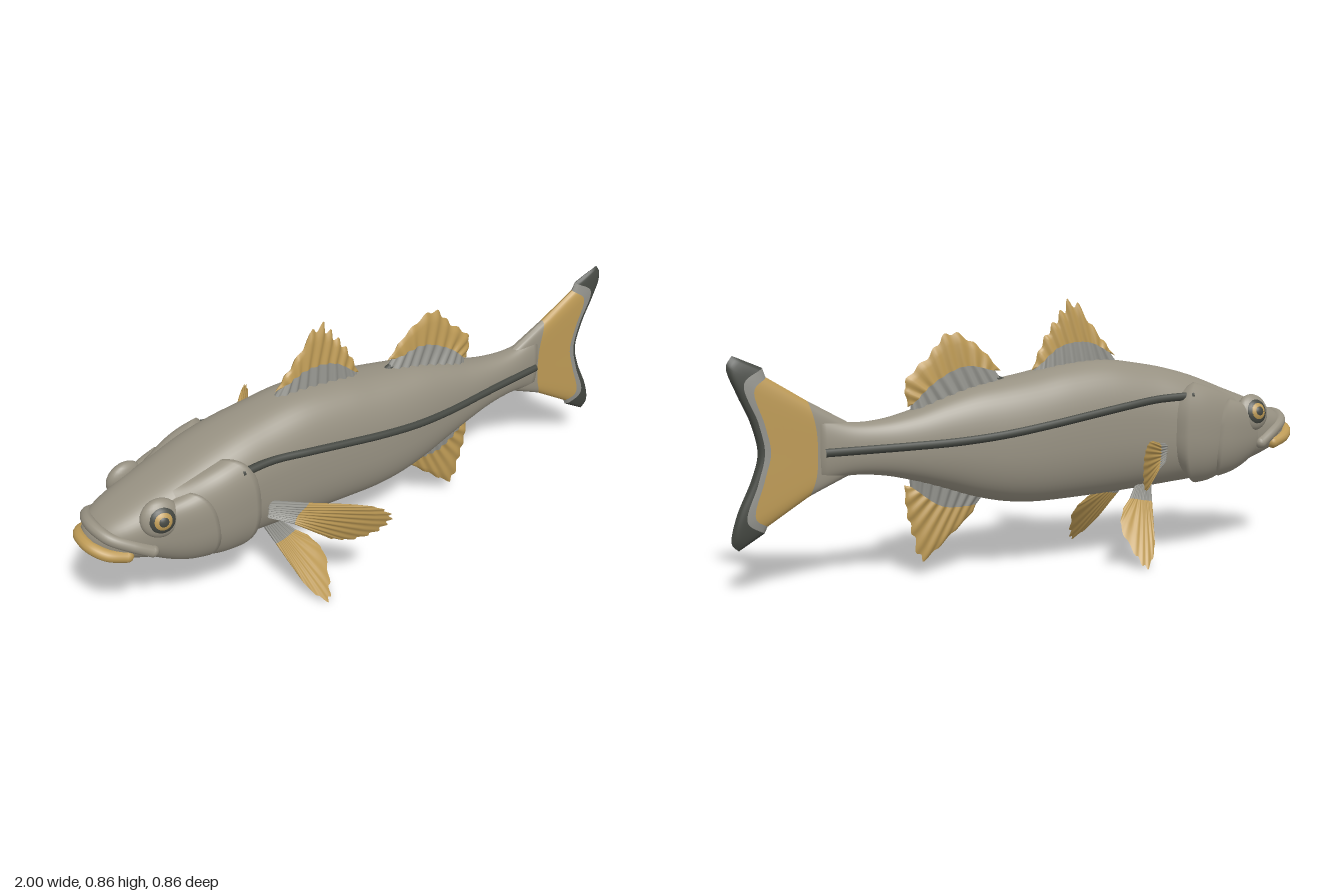
import * as THREE from 'three';

const paint = (name, color, side = THREE.DoubleSide) => {
  const m = new THREE.MeshStandardMaterial({ color, side });
  m.name = name;
  return m;
};
const V = (x, y, z = 0) => new THREE.Vector3(x, y, z);

// Body stations: x, top, bottom, half width
const stations = [
  [-0.965, 0.43, 0.36, 0.045], [-0.93, 0.458, 0.338, 0.082], [-0.88, 0.482, 0.318, 0.108],
  [-0.8, 0.515, 0.29, 0.128], [-0.7, 0.553, 0.265, 0.143], [-0.6, 0.592, 0.245, 0.153],
  [-0.5, 0.622, 0.236, 0.152], [-0.4, 0.642, 0.228, 0.146], [-0.25, 0.662, 0.218, 0.144],
  [-0.1, 0.652, 0.212, 0.142], [0.02, 0.63, 0.211, 0.138], [0.12, 0.613, 0.222, 0.129],
  [0.22, 0.595, 0.246, 0.114], [0.32, 0.565, 0.28, 0.096], [0.42, 0.53, 0.311, 0.077],
  [0.52, 0.508, 0.334, 0.058], [0.62, 0.505, 0.342, 0.044], [0.72, 0.53, 0.33, 0.03]
];
const POWER = 2.5;

// Smooth interpolation between stations
function section(x) {
  let i = 0;
  while (i < stations.length - 2 && x > stations[i + 1][0]) i++;
  const a = stations[i], b = stations[i + 1];
  const p = stations[Math.max(i - 1, 0)], q = stations[Math.min(i + 2, stations.length - 1)];
  const d = b[0] - a[0], t = THREE.MathUtils.clamp((x - a[0]) / d, 0, 1);
  const [top, bottom, w] = [1, 2, 3].map(k => {
    const m0 = (b[k] - p[k]) / (b[0] - p[0]) * d, m1 = (q[k] - a[k]) / (q[0] - a[0]) * d;
    const t2 = t * t, t3 = t2 * t;
    return (2 * t3 - 3 * t2 + 1) * a[k] + (t3 - 2 * t2 + t) * m0 + (3 * t2 - 2 * t3) * b[k] + (t3 - t2) * m1;
  });
  return { mid: (top + bottom) / 2, h: (top - bottom) / 2, w };
}
const soft = v => Math.sign(v) * Math.abs(v) ** (2 / POWER);
// Point on the body skin; angle 0 is the left flank, PI/2 the back
function skin(x, angle, lift = 0) {
  const s = section(x);
  return V(x, s.mid + (s.h + lift) * soft(Math.sin(angle)), (s.w + lift) * soft(Math.cos(angle)));
}
function flank(x, y) {
  const s = section(x);
  return s.w * Math.max(0, 1 - Math.abs((y - s.mid) / s.h) ** POWER) ** (1 / POWER);
}

// Surface through equal-length rings of points
function loft(rings, closed = true) {
  const n = rings[0].length, index = [];
  for (let i = 0; i < rings.length - 1; i++) {
    for (let j = 0; j < (closed ? n : n - 1); j++) {
      const a = i * n + j, b = i * n + (j + 1) % n;
      index.push(a, b, a + n, b, b + n, a + n);
    }
  }
  const g = new THREE.BufferGeometry().setFromPoints(rings.flat());
  g.setIndex(index);
  g.computeVertexNormals();
  return g;
}

export function createModel() {
  const fish = new THREE.Group();
  fish.name = 'fish';
  const gray = paint('skin gray', 0x979182), pale = paint('fin gray', 0x92928c);
  const gold = paint('fin gold', 0xbd9a55), dark = paint('charcoal', 0x454842);

  const add = (name, geometry, material, parent = fish) => {
    const m = new THREE.Mesh(geometry, material);
    m.name = name;
    parent.add(m);
    return m;
  };

  // Body with closed ends
  const rings = [];
  for (let i = 0; i <= 100; i++) {
    const x = -0.965 + 1.685 * i / 100;
    rings.push(Array.from({ length: 56 }, (_, j) => skin(x, j / 56 * Math.PI * 2)));
  }
  const cap = (x, y) => Array.from({ length: 56 }, () => V(x, y));
  add('body', loft([cap(-0.975, 0.395), ...rings, cap(0.73, 0.43)]), gray);

  // Fin made of coloured strips between successive curves, thin at every rim
  function fin(name, curves, mats, place, normal, { thick = 0.02, rays = 8, jag = 0.1, taper = 0.65 } = {}) {
    const group = new THREE.Group(), N = 64, K = mats.length;
    group.name = name;
    const paths = curves.map(c => new THREE.CatmullRomCurve3(c.map(p => V(p[0], p[1])), false, 'centripetal'));
    mats.forEach((mat, k) => {
      const strip = [];
      for (let r = 0; r <= 6; r++) {
        const v = r / 6, g = (k + v) / K, front = [], back = [];
        for (let j = 0; j <= N; j++) {
          const u = j / N, wave = Math.cos(u * rays * Math.PI * 2);
          const low = paths[k].getPoint(u), high = paths[k + 1].getPoint(u);
          if (k === K - 1) high.lerp(low, jag * (0.5 - 0.5 * wave));
          const p = place(low.lerp(high, v));
          const t = thick * (1 - taper * g) * Math.sqrt(1 - g ** 10)
            * Math.sqrt(Math.max(0, 1 - Math.abs(2 * u - 1) ** 6)) * (1 + (jag ? 0.25 * wave : 0));
          front.push(p.clone().addScaledVector(normal, t));
          back.unshift(p.clone().addScaledVector(normal, -t));
        }
        strip.push([...front, ...back]);
      }
      add(name + ' strip ' + (k + 1), loft(strip), mat, group);
    });
    fish.add(group);
  }
  const flat = p => V(p.x, p.y), Z = V(0, 0, 1);

  // Fins on the centre line
  fin('first dorsal fin', [
    [[-0.33, 0.63], [-0.16, 0.64], [0.01, 0.6]],
    [[-0.29, 0.68], [-0.2, 0.72], [-0.1, 0.71], [-0.01, 0.64]],
    [[-0.31, 0.67], [-0.24, 0.755], [-0.14, 0.868], [-0.09, 0.81], [-0.04, 0.735], [0, 0.635]]
  ], [pale, gold], flat, Z, { thick: 0.022, rays: 9, jag: 0.24 });
  fin('second dorsal fin', [
    [[0.09, 0.59], [0.26, 0.57], [0.42, 0.51]],
    [[0.13, 0.64], [0.24, 0.66], [0.35, 0.61], [0.42, 0.545]],
    [[0.11, 0.64], [0.19, 0.725], [0.29, 0.772], [0.36, 0.7], [0.44, 0.62], [0.43, 0.54]]
  ], [pale, gold], flat, Z, { thick: 0.022, rays: 9, jag: 0.12 });
  fin('anal fin', [
    [[0.17, 0.25], [0.3, 0.29], [0.43, 0.335]],
    [[0.2, 0.215], [0.32, 0.22], [0.425, 0.29]],
    [[0.21, 0.19], [0.3, 0.11], [0.39, 0.045], [0.42, 0.13], [0.44, 0.21], [0.445, 0.295]]
  ], [pale, gold], flat, Z, { thick: 0.022, rays: 8, jag: 0.1 });
  fin('tail fin', [
    [[0.62, 0.345], [0.63, 0.42], [0.62, 0.502]],
    [[0.755, 0.285], [0.735, 0.35], [0.73, 0.43], [0.735, 0.5], [0.755, 0.578]],
    [[0.885, 0.205], [0.925, 0.235], [0.895, 0.35], [0.875, 0.43], [0.89, 0.51], [0.92, 0.62], [0.88, 0.655]],
    [[0.895, 0.185], [0.95, 0.225], [0.915, 0.34], [0.893, 0.43], [0.91, 0.52], [0.95, 0.64], [0.89, 0.683]],
    [[0.975, 0.138], [0.995, 0.16], [0.98, 0.24], [0.93, 0.35], [0.91, 0.425], [0.93, 0.52], [0.97, 0.61],
      [0.998, 0.69], [0.98, 0.722]]
  ], [gray, gold, pale, dark], flat, Z, { thick: 0.024, jag: 0, taper: 0.25 });
  const spine = add('dorsal spine', new THREE.ConeGeometry(0.016, 0.13, 10), dark);
  spine.position.set(0.14, 0.625, 0);
  spine.rotation.z = -1.05;

  for (const side of [1, -1]) {
    const label = side > 0 ? 'left' : 'right';

    // Pectoral fin, drawn as (z, y) and swept back
    fin(label + ' pectoral fin', [
      [[0.12, 0.32], [0.12, 0.35], [0.12, 0.385]],
      [[0.185, 0.305], [0.2, 0.35], [0.235, 0.408]],
      [[0.265, 0.263], [0.31, 0.272], [0.37, 0.315], [0.415, 0.37], [0.433, 0.415], [0.41, 0.438], [0.35, 0.436]]
    ], [pale, gold], p => V(-0.43 + (p.x - 0.13) * 0.88 + (0.4 - p.y) * 0.22, p.y, side * p.x),
    V(0.72, 0.1, -0.68 * side), { thick: 0.013, rays: 10, jag: 0.05 });

    // Pelvic fin, drawn as (x, y) and splayed outward
    fin(label + ' pelvic fin', [
      [[-0.41, 0.245], [-0.385, 0.25], [-0.35, 0.245]],
      [[-0.39, 0.19], [-0.355, 0.195], [-0.31, 0.205]],
      [[-0.365, 0.12], [-0.335, 0.05], [-0.285, 0.002], [-0.262, 0.04], [-0.242, 0.125], [-0.275, 0.18]]
    ], [pale, gold], p => V(p.x, p.y, side * (0.085 + (0.225 - p.y) * 0.78)),
    V(0, 0.61, 0.79 * side), { thick: 0.012, rays: 8, jag: 0.06 });

    // Dark lateral stripe following the flank
    const stripe = [[-0.52, 0.542], [-0.4, 0.535], [-0.28, 0.52], [-0.14, 0.498], [0, 0.475], [0.15, 0.452],
      [0.3, 0.436], [0.45, 0.428], [0.6, 0.423], [0.71, 0.42]]
      .map(([x, y]) => V(x, y, side * (flank(x, y) + (x < -0.45 ? 0.018 : 0.001))));
    add(label + ' lateral stripe',
      new THREE.TubeGeometry(new THREE.CatmullRomCurve3(stripe), 90, 0.013, 8), dark);

    // Gill cover and cheek plate: lifted skin patches with a free rear edge
    const cover = (name, x0, rear, lift, lo, hi) => {
      const rows = [];
      for (let i = 0; i <= 16; i++) {
        const s = i / 16, row = [];
        for (let j = 0; j <= 32; j++) {
          const a = lo + (hi - lo) * j / 32, q = 2 * j / 32 - 1;
          const x = x0 + (rear(q) - x0) * s;
          const rise = lift * Math.sin(Math.min(1, s / 0.75) * Math.PI / 2) * (1 - Math.abs(q) ** 6);
          const p = skin(x, a, s > 0.97 ? -0.01 : rise);
          p.z *= side;
          row.push(p);
        }
        rows.push(row);
      }
      add(label + ' ' + name, loft(rows, false), gray);
    };
    cover('gill cover', -0.72, q => -0.455 - 0.13 * Math.abs(q - 0.15) ** 2.2, 0.027, -1.35, 0.95);
    cover('cheek plate', -0.8, q => -0.6 - 0.08 * q * q, 0.026, -1.25, 0.75);

    // Eye: socket, dark rim, gold iris, pupil
    const eye = new THREE.Group();
    eye.name = label + ' eye';
    eye.position.set(-0.78, 0.468, side * 0.118);
    eye.rotation.set(-0.22 * side, -0.12 * side, 0);
    fish.add(eye);
    const ball = (name, r, depth, z, mat) => {
      const m = add(name, new THREE.SphereGeometry(r, 28, 16), mat, eye);
      m.scale.z = depth / r;
      m.position.z = side * z;
    };
    ball('eye socket', 0.062, 0.032, 0, gray);
    ball('eye rim', 0.047, 0.03, 0.009, dark);
    ball('iris', 0.037, 0.026, 0.016, gold);
    ball('pupil', 0.021, 0.014, 0.03, dark);
  }

  // Lips: U-shaped tubes around the snout
  const lip = (name, half, radius, mat) => {
    const pts = [...half, ...half.slice(0, -1).reverse().map(([x, y, z]) => [x, y, -z])];
    const curve = new THREE.CatmullRomCurve3(pts.map(p => V(...p)));
    add(name, new THREE.TubeGeometry(curve, 60, radius, 12), mat);
    for (const z of [1, -1]) {
      const end = add(name + ' corner', new THREE.SphereGeometry(radius, 12, 10), mat);
      end.position.set(half[0][0], half[0][1], z * half[0][2]);
    }
  };
  lip('lower lip', [[-0.885, 0.355, 0.095], [-0.94, 0.372, 0.078], [-0.972, 0.389, 0.042], [-0.98, 0.394, 0]], 0.02, gold);
  lip('upper lip', [[-0.815, 0.362, 0.122], [-0.87, 0.394, 0.107], [-0.925, 0.424, 0.076], [-0.945, 0.438, 0.035], [-0.95, 0.442, 0]],
    0.02, gray);

  return fish;
}
